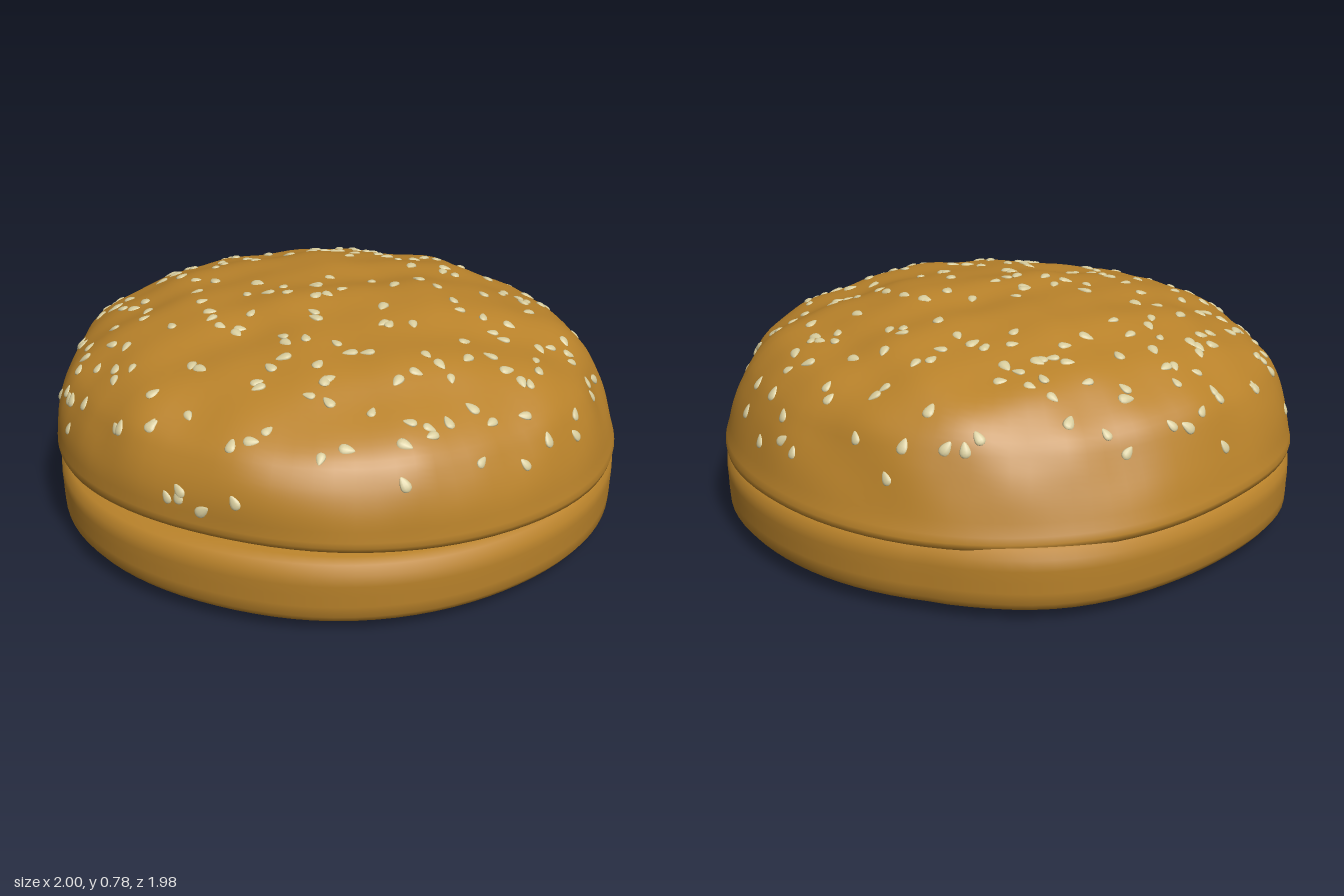
import * as THREE from 'three';
import { mergeVertices, mergeGeometries } from 'three/addons/utils/BufferGeometryUtils.js';

const { sin, cos, PI } = Math;

// Smooth closed lathe whose vertices are moved by warp(v, angle)
function bakedShell(profile, samples, warp) {
  const curve = new THREE.CatmullRomCurve3(profile.map(([r, y]) => new THREE.Vector3(r, y, 0)), false, 'centripetal');
  const pts = curve.getSpacedPoints(samples).map(p => new THREE.Vector2(Math.max(p.x, 0), p.y));
  pts[0].x = pts[samples].x = 0;
  let geo = new THREE.LatheGeometry(pts, 96);
  geo.deleteAttribute('uv');
  geo.deleteAttribute('normal');
  const pos = geo.attributes.position, v = new THREE.Vector3();
  for (let i = 0; i < pos.count; i++) {
    v.fromBufferAttribute(pos, i);
    warp(v, Math.atan2(v.x, v.z));
    pos.setXYZ(i, v.x, v.y, v.z);
  }
  geo = mergeVertices(geo, 1e-5);
  geo.computeVertexNormals();
  return geo;
}

// Uneven outline: radius every 30 degrees, from the front round by the model's left
const radii = [0.985, 1.0, 0.995, 1.008, 1.003, 0.99, 0.99, 0.99, 0.975, 1.006, 0.975, 0.99];
function outline(a) {
  const t = ((a / (2 * PI) + 1) % 1) * 12, i = Math.floor(t);
  return THREE.MathUtils.lerp(radii[i % 12], radii[(i + 1) % 12], (1 - cos(PI * (t - i))) / 2);
}
const rimHeight = a => 0.262 + 0.032 * cos(a) + 0.006 * sin(3 * a + 1) + 0.006 * cos(2 * a);

// Crown: profile height is 0 at the rim and 1 at the summit
const crownProfile = [[0, 0.02], [0.5, 0.02], [0.9, 0.01], [0.965, -0.01], [0.992, 0.02], [0.985, 0.12], [0.965, 0.28],
  [0.93, 0.44], [0.885, 0.57], [0.79, 0.7], [0.65, 0.81], [0.5, 0.89], [0.3, 0.965], [0.12, 0.985], [0, 0.985]];

function warpCrown(v, a) {
  const h = v.y, hc = Math.min(Math.max(h, 0), 1);
  // fuller at the front, more sloping at the back
  const r = Math.hypot(v.x, v.z);
  const scale = outline(a) + 0.03 * cos(a) * 4 * hc * (1 - hc) * r;
  v.x *= scale;
  v.z *= scale;
  const rim = THREE.MathUtils.lerp(0.27, rimHeight(a), Math.min(r, 1));
  v.y = rim + (0.78 - rim) * h;
  // soft dents and bumps
  const lump = 0.45 * sin(6.1 * v.x + 2.2 * sin(3 * v.z)) * cos(5.3 * v.z + 1) +
    0.4 * sin(11 * v.x + 4 * v.z + 1.3) * sin(9 * v.z - 3 * v.x) + 0.3 * sin(19 * v.x) * cos(17 * v.z + 8 * v.y);
  const k = 0.02 * THREE.MathUtils.smoothstep(h, 0.05, 0.5) * lump;
  v.y += k * (0.4 + 0.6 * h);
  v.x += k * v.x * 0.9;
  v.z += k * v.z * 0.9;
}

// Heel: thick disc with a bevelled base and a slightly domed top
const heelProfile = [[0, 0.003], [0.5, 0.005], [0.76, 0.014], [0.9, 0.03], [0.965, 0.045], [0.985, 0.056],
  [0.988, 0.075], [0.99, 0.14], [0.99, 0.215], [0.978, 0.237], [0.94, 0.25], [0.84, 0.268], [0.6, 0.28], [0, 0.285]];

function warpHeel(v, a) {
  // bulges past the crown at the back right
  const s = outline(a) + 0.03 * Math.exp(-(((a + 2.75) / 0.28) ** 2));
  v.x *= s;
  v.z *= s;
  const edge = Math.min(Math.hypot(v.x, v.z), 1) ** 4;
  v.y += 0.006 * sin(4 * a + 0.5) * edge * (v.y / 0.26);
}

// Repeatable number sequence for the seed scatter
function sequence(seed) {
  return () => {
    seed = (seed * 16807) % 2147483647;
    return seed / 2147483647;
  };
}

// One teardrop seed lying in the xz plane, tip toward +z
function seedGeometry() {
  const geo = new THREE.SphereGeometry(1, 10, 8).rotateX(PI / 2);
  const pos = geo.attributes.position;
  for (let i = 0; i < pos.count; i++) {
    const z = pos.getZ(i), w = 1 - 0.42 * z;
    pos.setXYZ(i, pos.getX(i) * 0.015 * w, pos.getY(i) * 0.007 * w, z * 0.023);
  }
  geo.computeVertexNormals();
  return geo;
}

// Scatter seeds evenly over the crown surface, thinning out toward the rim
function scatterSeeds(crown, count) {
  const rand = sequence(4217), seed = seedGeometry(), parts = [];
  const pos = crown.attributes.position, idx = crown.index, areas = [];
  const tri = new THREE.Triangle(), n = new THREE.Vector3();
  let total = 0;
  for (let f = 0; f < idx.count / 3; f++) {
    tri.setFromAttributeAndIndices(pos, idx.getX(3 * f), idx.getX(3 * f + 1), idx.getX(3 * f + 2));
    tri.getNormal(n);
    const y = tri.getMidpoint(new THREE.Vector3()).y;
    if (n.y > -0.1 && y > 0.38) total += tri.getArea() * THREE.MathUtils.smoothstep(y, 0.3, 0.58);
    areas.push(total);
  }
  const m = new THREE.Matrix4(), up = new THREE.Vector3(0, 1, 0), spin = new THREE.Quaternion();
  for (let i = 0; i < count; i++) {
    const target = rand() * total, f = areas.findIndex(s => s > target);
    tri.setFromAttributeAndIndices(pos, idx.getX(3 * f), idx.getX(3 * f + 1), idx.getX(3 * f + 2));
    tri.getNormal(n);
    const p = tri.getMidpoint(new THREE.Vector3());
    // tips point roughly uphill on the sides, any way on top
    const uphill = Math.atan2(-p.x, -p.z) + (rand() - 0.5) * (n.y > 0.8 ? 2 * PI : 2);
    const q = new THREE.Quaternion().setFromUnitVectors(up, n).multiply(spin.setFromAxisAngle(up, uphill));
    const s = 0.85 + 0.3 * rand();
    parts.push(seed.clone().applyMatrix4(m.compose(p, q, new THREE.Vector3(s, s, s))));
  }
  return mergeGeometries(parts);
}

export function createModel() {
  const group = new THREE.Group();
  group.name = 'sesameBun';
  const bread = new THREE.MeshStandardMaterial({ color: 0xb9822a });
  const sesame = new THREE.MeshStandardMaterial({ color: 0xd6cb9c });
  const add = (name, geo, mat) => {
    const mesh = new THREE.Mesh(geo, mat);
    mesh.name = name;
    group.add(mesh);
  };

  const crown = bakedShell(crownProfile, 70, warpCrown);
  add('bottomBun', bakedShell(heelProfile, 60, warpHeel), bread);
  add('topBun', crown, bread);
  add('sesameSeeds', scatterSeeds(crown, 230), sesame);
  return group;
}
